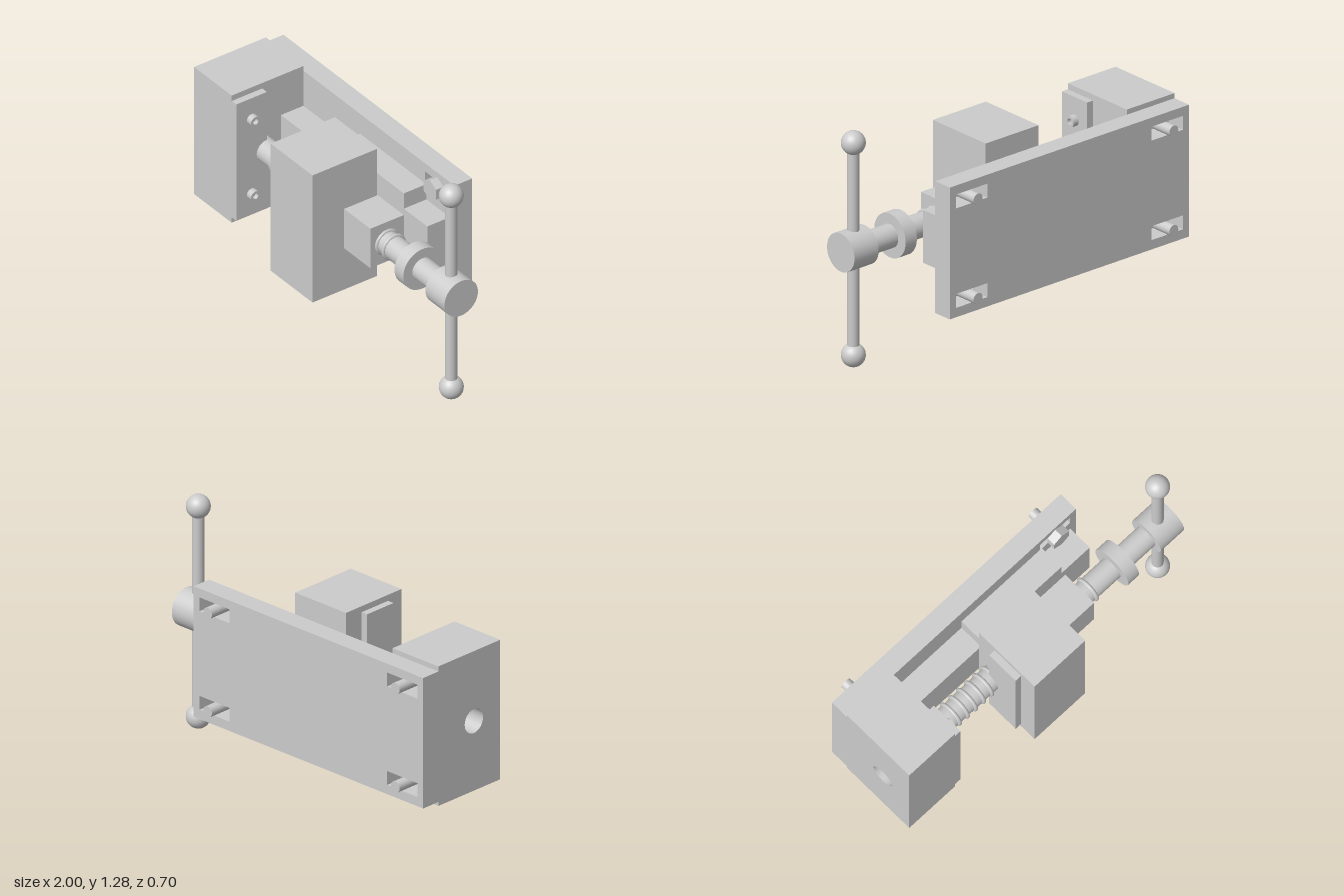
import * as THREE from 'three';

const AXIS_Y = 0.643, AXIS_Z = 0.063; // screw axis
const material = new THREE.MeshStandardMaterial({ color: 0xcccccc });

export function createModel() {
  const model = new THREE.Group();

  const add = (name, geometry) => {
    const mesh = new THREE.Mesh(geometry, material);
    mesh.name = name;
    model.add(mesh);
    return mesh;
  };
  // Box given by its limits on each axis
  const box = (name, [x0, x1], [y0, y1], [z0, z1]) =>
    add(name, new THREE.BoxGeometry(x1 - x0, y1 - y0, z1 - z0))
      .position.set((x0 + x1) / 2, (y0 + y1) / 2, (z0 + z1) / 2);
  // Cylinder along the screw axis
  const turned = (name, r, x0, x1) => {
    const g = new THREE.CylinderGeometry(r, r, x1 - x0, 48).rotateZ(-Math.PI / 2);
    add(name, g).position.set((x0 + x1) / 2, AXIS_Y, AXIS_Z);
  };
  const rect = (Type, x0, x1, y0, y1) => new Type([
    new THREE.Vector2(x0, y0), new THREE.Vector2(x1, y0),
    new THREE.Vector2(x1, y1), new THREE.Vector2(x0, y1),
  ]);

  // Base plate with four mounting slots
  const boltX = [-0.855, 0.45], boltY = [0.371, 0.913];
  const plate = rect(THREE.Shape, -1, 0.595, 0.282, 1.0);
  for (const x of boltX) for (const y of boltY)
    plate.holes.push(rect(THREE.Path, x - 0.105, x + 0.105, y - 0.038, y + 0.038));
  add('basePlate', new THREE.ExtrudeGeometry(plate, { depth: 0.11, bevelEnabled: false }))
    .position.z = -0.303;

  // Mounting bolts: round shank and hexagonal head
  for (const x of boltX) for (const y of boltY) {
    add('boltShank', new THREE.CylinderGeometry(0.03, 0.03, 0.2, 24).rotateX(Math.PI / 2))
      .position.set(x, y, -0.253);
    const head = new THREE.CylinderGeometry(0.06, 0.06, 0.047, 6).toNonIndexed();
    head.computeVertexNormals();
    add('boltHead', head.rotateX(Math.PI / 2)).position.set(x, y, -0.1695);
  }

  // Fixed jaw with a bore for the screw
  const jaw = rect(THREE.Shape, -0.253, 0.193, 0.26, 1.028);
  const bore = new THREE.Path();
  bore.absarc(-AXIS_Z, AXIS_Y, 0.066, 0, Math.PI * 2, true);
  jaw.holes.push(bore);
  add('fixedJaw', new THREE.ExtrudeGeometry(jaw, { depth: 0.318, bevelEnabled: false, curveSegments: 32 })
    .rotateY(Math.PI / 2)).position.x = -1;
  box('fixedJawFace', [-0.682, -0.643], [0.292, 0.995], [0.063, 0.253]);

  // Socket screws holding the fixed jaw face
  const socketProfile = [[0, 0], [0.03, 0], [0.03, 0.035], [0.016, 0.035], [0.016, 0.012], [0, 0.012]];
  for (const y of [0.42, 0.87]) {
    // Each profile segment is turned separately to keep the edges sharp
    for (let i = 0; i < socketProfile.length - 1; i++) {
      const pts = [socketProfile[i], socketProfile[i + 1]].map(p => new THREE.Vector2(...p));
      add('jawFaceScrew', new THREE.LatheGeometry(pts, 24).rotateZ(-Math.PI / 2))
        .position.set(-0.644, y, 0.157);
    }
  }

  // Guide rail and the wider slide under the moving jaw
  box('guideRail', [-0.682, 0.555], [0.5, 0.788], [-0.193, -0.053]);
  for (const [i, y] of [[0.408, 0.5], [0.788, 0.88]].entries())
    box(i ? 'upperSlide' : 'lowerSlide', [-0.203, 0.357], y, [-0.193, -0.053]);

  // Moving jaw and nut block
  box('movingJaw', [-0.22, 0.133], [0.26, 1.028], [-0.05, 0.35]);
  box('movingJawFace', [-0.258, -0.22], [0.292, 0.995], [0.063, 0.253]);
  box('nutBlock', [0.152, 0.373], [0.525, 0.763], [-0.041, 0.167]);

  // Screw with raised thread rings
  turned('screw', 0.063, -0.72, 0.86);
  for (let i = 0; i < 18; i++)
    add('threadRing', new THREE.TorusGeometry(0.064, 0.011, 10, 40).rotateY(Math.PI / 2))
      .position.set(-0.526 + i * 0.0562, AXIS_Y, AXIS_Z);
  turned('collar', 0.119, 0.597, 0.672);
  turned('screwHead', 0.104, 0.838, 1.0);

  // Sliding handle with ball ends
  const handleX = 0.916;
  add('handleBar', new THREE.CylinderGeometry(0.031, 0.031, 1.12, 32)).position.set(handleX, AXIS_Y, AXIS_Z);
  for (const y of [0.063, 1.219])
    add('handleBall', new THREE.SphereGeometry(0.063, 32, 20)).position.set(handleX, y, AXIS_Z);

  return model;
}
